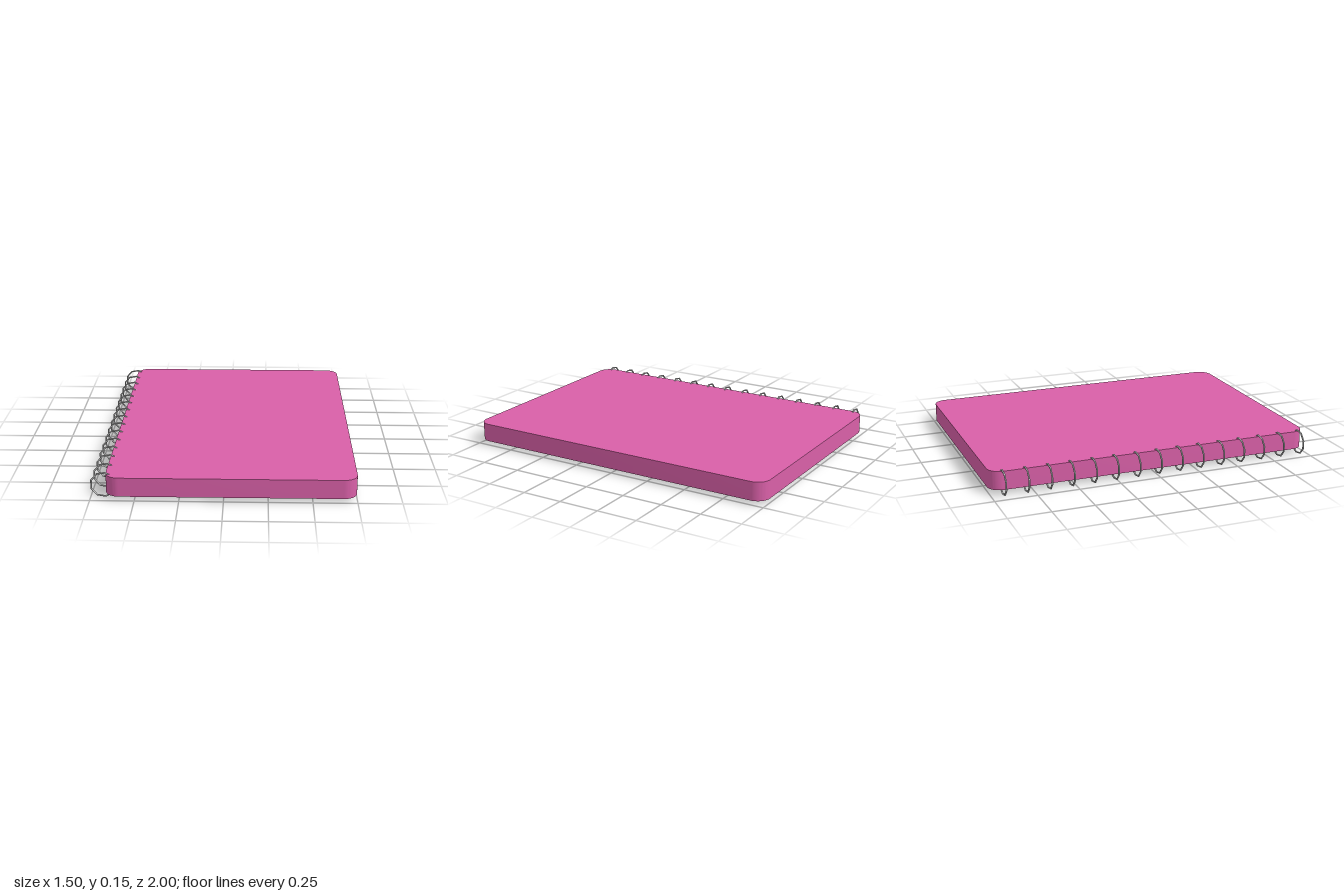
import * as THREE from 'three';
import { toCreasedNormals } from 'three/addons/utils/BufferGeometryUtils.js';

// Rectangle with rounded corners, centred on the origin
function roundedRect(w, h, r) {
  const s = new THREE.Shape();
  const x = w / 2 - r, y = h / 2 - r;
  s.absarc(x, y, r, 0, Math.PI / 2);
  s.absarc(-x, y, r, Math.PI / 2, Math.PI);
  s.absarc(-x, -y, r, Math.PI, Math.PI * 1.5);
  s.absarc(x, -y, r, Math.PI * 1.5, Math.PI * 2);
  return s;
}

export function createModel() {
  const model = new THREE.Group();
  model.name = 'spiralNotebook';

  // Page block with covers: one thick slab lying flat
  const slab = new THREE.ExtrudeGeometry(roundedRect(1.415, 2, 0.08), {
    depth: 0.112, bevelEnabled: false, curveSegments: 8,
  });
  slab.rotateX(-Math.PI / 2);
  const book = new THREE.Mesh(
    toCreasedNormals(slab, Math.PI / 6),
    new THREE.MeshStandardMaterial({ color: 0xd960a8 }),
  );
  book.name = 'book';
  book.position.set(0.0425, 0.026, 0);
  model.add(book);

  // Row of nine-sided wire rings along the left edge
  const rings = new THREE.Group();
  rings.name = 'bindingRings';
  const wire = new THREE.TorusGeometry(0.0723, 0.0052, 6, 9);
  const grey = new THREE.MeshStandardMaterial({ color: 0xcccccc });
  const count = 15;
  for (let i = 0; i < count; i++) {
    const ring = new THREE.Mesh(wire, grey);
    ring.name = `ring${i + 1}`;
    ring.position.set(-0.677, 0.0763, -0.93 + i * 0.134);
    rings.add(ring);
  }
  model.add(rings);

  return model;
}
